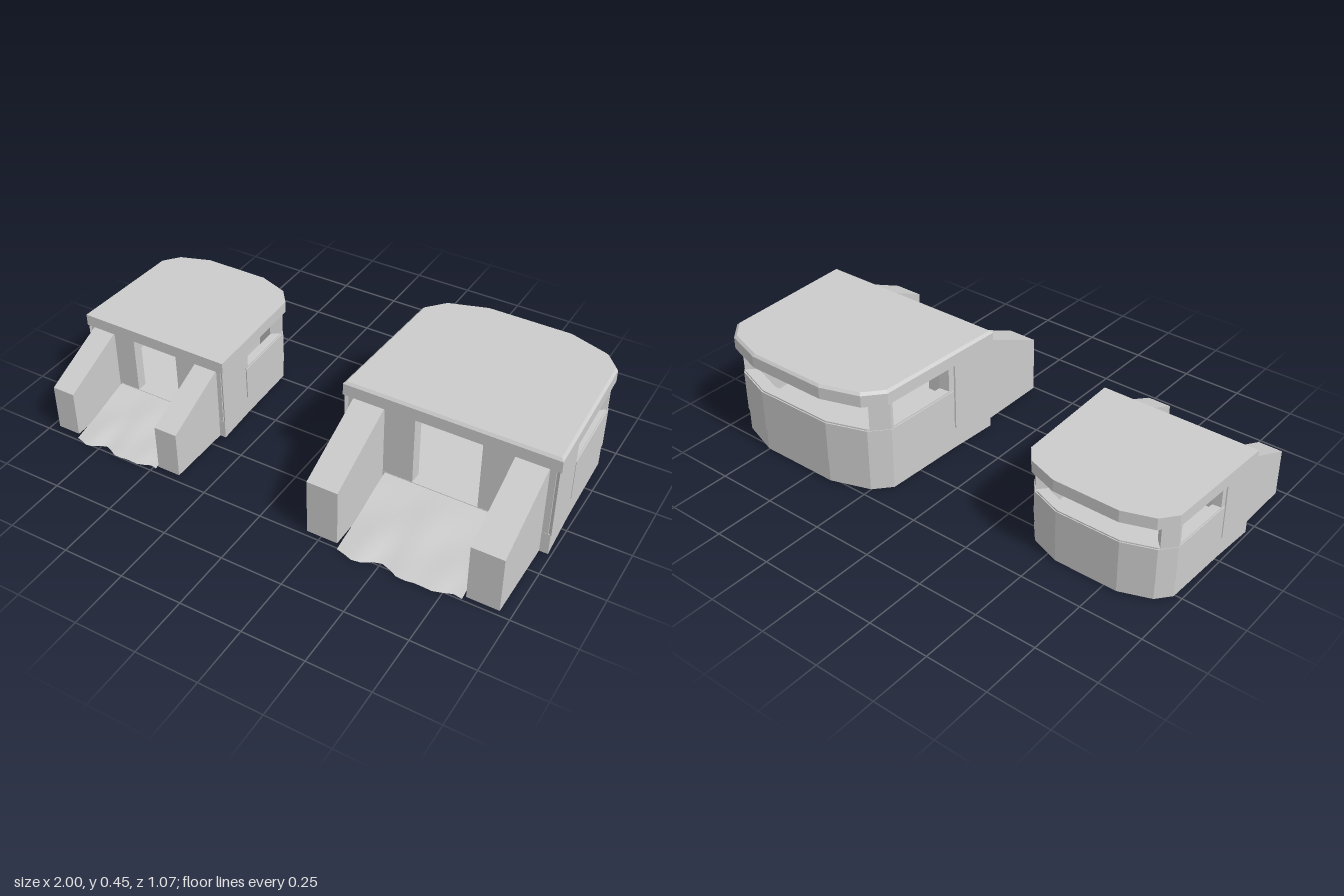
import * as THREE from 'three';

const mat = new THREE.MeshStandardMaterial({ color: 0xcccccc, flatShading: true });
const sheetMat = new THREE.MeshStandardMaterial({ color: 0xcccccc, side: THREE.DoubleSide });

// Right half of each plan outline as [x, z], from the front to the rounded back
const ROOF = [[0.425, 0.157], [0.4, -0.42], [0.335, -0.495], [0.175, -0.547]];
const BODY = [[0.415, 0.152], [0.402, -0.06], [0.39, -0.4], [0.33, -0.467], [0.17, -0.522]];

const mirrored = half => [...half, ...half.slice().reverse().map(([x, z]) => [-x, z])];

function add(group, name, geometry, material = mat) {
  const mesh = new THREE.Mesh(geometry, material);
  mesh.name = name;
  group.add(mesh);
  return mesh;
}

// Upright prism over a plan outline
function prism(points, y0, y1) {
  const shape = new THREE.Shape(points.map(([x, z]) => new THREE.Vector2(x, -z)));
  return new THREE.ExtrudeGeometry(shape, { depth: y1 - y0, bevelEnabled: false })
    .rotateX(-Math.PI / 2).translate(0, y0, 0);
}

// Wall of even thickness following a plan path; grow pushes it outwards
function wall(path, y0, y1, grow = 0, thick = 0.12) {
  const scaled = s => path.map(([x, z]) => [x * s, (z + 0.12) * s - 0.12]);
  return prism([...scaled(1 + grow), ...scaled(1 - thick).reverse()], y0, y1);
}

function box(x0, x1, y0, y1, z0, z1) {
  return new THREE.BoxGeometry(x1 - x0, y1 - y0, z1 - z0)
    .translate((x0 + x1) / 2, (y0 + y1) / 2, (z0 + z1) / 2);
}

// Point on the body's side wall at a given z
function sideAt(z) {
  const i = z > -0.06 ? 0 : 1;
  const [a, b] = [BODY[i], BODY[i + 1]];
  return [a[0] + (b[0] - a[0]) * (z - a[1]) / (b[1] - a[1]), z];
}

// Earth ramp with an uneven surface and a ragged front edge
function rampGeometry() {
  const geometry = new THREE.PlaneGeometry(0.49, 1, 14, 8).rotateX(-Math.PI / 2);
  const p = geometry.attributes.position;
  for (let i = 0; i < p.count; i++) {
    const x = p.getX(i), t = p.getZ(i) + 0.5;
    const edge = 0.508 + 0.013 * Math.sin(x * 24 + 6.2) + 0.009 * Math.cos(x * 41);
    const bump = 0.005 * Math.sin(x * 19 + t * 5) * Math.sin(t * Math.PI);
    p.setXYZ(i, x, 0.097 * (1 - t) + bump + 0.001, 0.15 + (edge - 0.15) * t);
  }
  geometry.computeVertexNormals();
  return geometry;
}

function bunker(name, bevelledRoof) {
  const g = new THREE.Group();
  g.name = name;

  // Base slab and the parapet around the rear
  add(g, 'base', prism(mirrored(BODY), 0.008, 0.1));
  const rear = [sideAt(-0.06), ...BODY.slice(2)];
  add(g, 'parapet', wall(mirrored(rear), 0.102, 0.276, 0.008));
  add(g, 'parapetSill', wall(mirrored(rear), 0.276, 0.282, -0.004));

  // Roof, with a chamfered upper edge on the larger shelter
  const roofLine = mirrored(ROOF);
  add(g, 'roof', prism(roofLine, 0.396, bevelledRoof ? 0.445 : 0.455));
  if (bevelledRoof) {
    const cap = prism(roofLine, 0.445, 0.455);
    const p = cap.attributes.position;
    for (let i = 0; i < p.count; i++) {
      if (p.getY(i) > 0.45) p.setXYZ(i, p.getX(i) * 0.975, p.getY(i), (p.getZ(i) + 0.195) * 0.975 - 0.195);
    }
    add(g, 'roofChamfer', cap);
  }

  for (const s of [1, -1]) {
    const side = s > 0 ? 'left' : 'right';
    const flip = path => s > 0 ? path : path.map(([x, z]) => [-x, z]).reverse();

    // Heavy side wall, window jamb and corner post
    add(g, side + 'SideWall', wall(flip([BODY[0], sideAt(-0.052)]), 0.1, 0.396, 0.008));
    add(g, side + 'WindowJamb', wall(flip([sideAt(-0.052), sideAt(-0.08)]), 0.1, 0.396, -0.008));
    add(g, side + 'CornerPost', wall(flip([sideAt(-0.388), BODY[2], [0.336, -0.46]]), 0.1, 0.396, 0.003));

    // Front wall beside the doorway
    const [x0, x1] = s > 0 ? [0.132, 0.405] : [-0.405, -0.132];
    add(g, side + 'FrontWall', box(x0, x1, 0.09, 0.396, 0.1, 0.151));

    // Sloped wing wall flanking the ramp
    const profile = new THREE.Shape([[0.14, 0.008], [0.485, 0.008], [0.485, 0.245], [0.16, 0.395], [0.14, 0.395]]
      .map(([z, y]) => new THREE.Vector2(z, y)));
    add(g, side + 'WingWall', new THREE.ExtrudeGeometry(profile, { depth: 0.126, bevelEnabled: false })
      .rotateY(-Math.PI / 2).translate(s > 0 ? 0.381 : -0.255, 0, 0));
  }

  // Firing steps inside, below the rear opening
  for (let i = 0; i < 4; i++) {
    add(g, 'firingStep', box(-0.2, 0.2, 0.1, 0.121 + i * 0.021, -0.46, -0.3 - i * 0.03));
  }

  add(g, 'ramp', rampGeometry(), sheetMat);
  return g;
}

export function createModel() {
  const model = new THREE.Group();
  model.name = 'bunkerPair';

  const large = bunker('largeBunker', true);
  large.position.x = 0.575;

  const small = bunker('smallBunker', false);
  small.scale.set(0.765, 0.815, 0.83);
  small.position.set(-0.675, 0, 0.07);

  model.add(large, small);
  return model;
}
